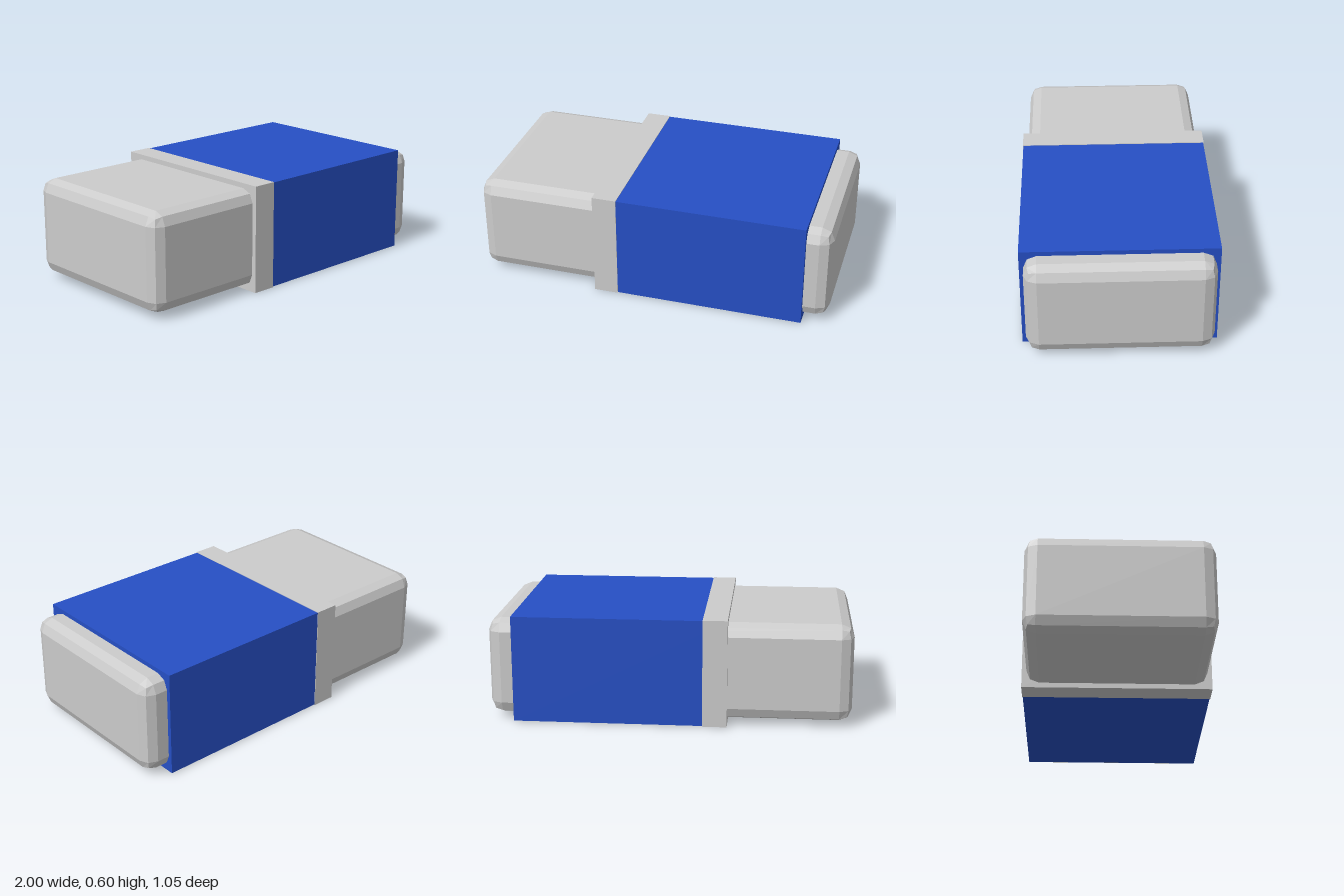
import * as THREE from 'three';
import { RoundedBoxGeometry } from 'three/addons/geometries/RoundedBoxGeometry.js';

export function createModel() {
  const model = new THREE.Group();
  const grey = new THREE.MeshStandardMaterial({ color: 0xcccccc, flatShading: true });
  const blue = new THREE.MeshStandardMaterial({ color: 0x264fc4, flatShading: true });
  const midY = 0.3;

  const add = (name, geometry, material, x) => {
    const mesh = new THREE.Mesh(geometry, material);
    mesh.name = name;
    mesh.position.set(x, midY, 0);
    model.add(mesh);
  };

  // Box spanning x0..x1, centred in height and depth
  const addBlock = (name, material, x0, x1, height, depth) =>
    add(name, new THREE.BoxGeometry(x1 - x0, height, depth), material, (x0 + x1) / 2);

  // Long core with two-step bevelled edges
  add('core', new RoundedBoxGeometry(2, 0.544, 1, 1, 0.07), grey, 0);

  // Coloured sleeve, running under the collar
  addBlock('sleeve', blue, -0.318, 0.86, 0.594, 1.046);

  // Slightly larger collar at the sleeve's end
  addBlock('collar', grey, -0.32, -0.185, 0.6, 1.052);

  return model;
}
